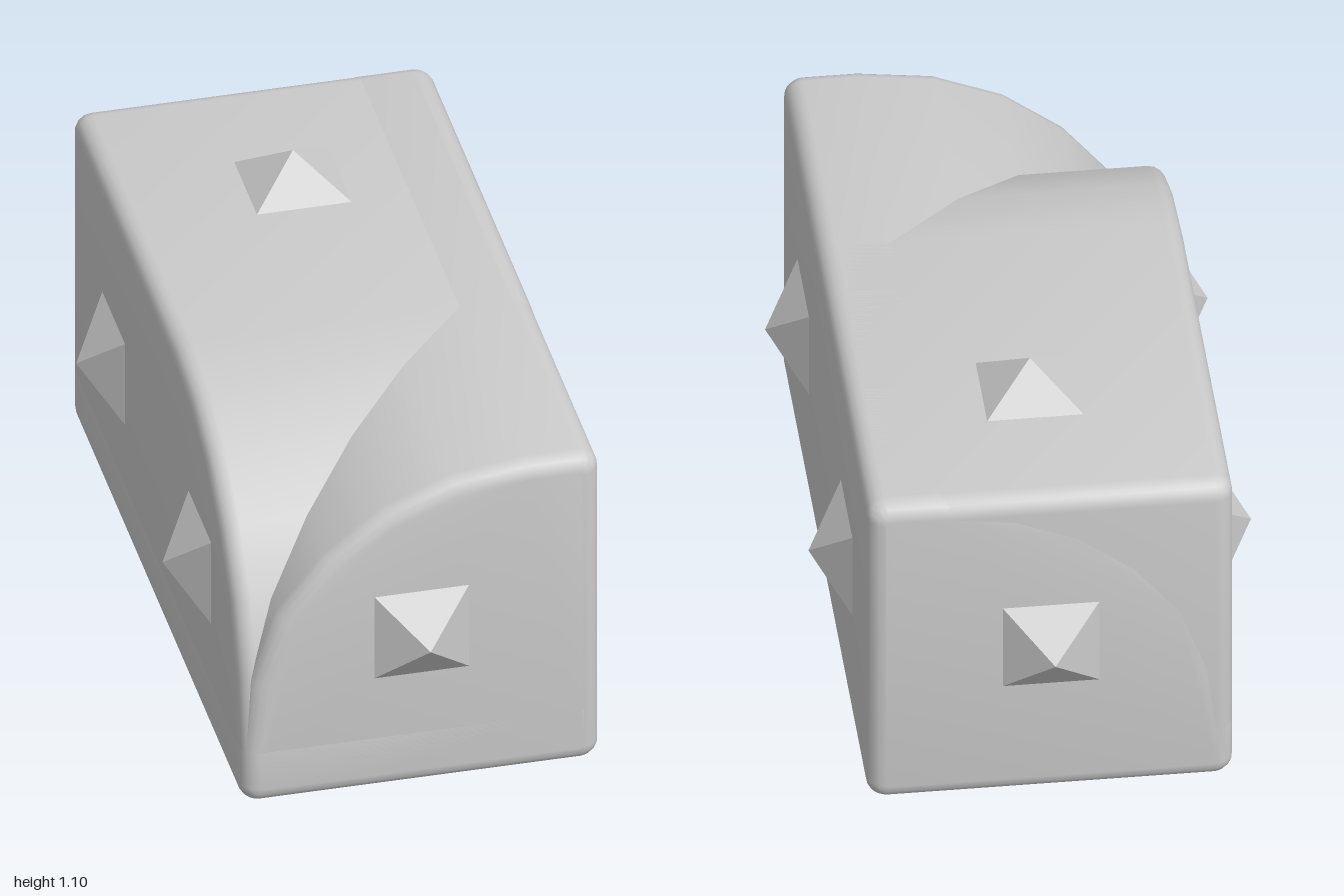
import * as THREE from 'three';
import { toCreasedNormals } from 'three/addons/utils/BufferGeometryUtils.js';

const BOTTOM = 0.095, TOP = 1, HALF_W = 0.455, HALF_L = 0.905;
const CORNER = 0.05, BEVEL = 0.045;

// Quarter-round cut: distance in from the edge, and height
const ARC = [[0, 0.25], [0.025, 0.45], [0.095, 0.64], [0.215, 0.79], [0.365, 0.905], [0.535, 0.975], [0.725, TOP]];

// Rounded rectangle outline whose upper left corner follows the quarter round
function roundedProfile(half) {
  const s = new THREE.Shape();
  const c = CORNER, e = half - c;
  s.moveTo(-e, BOTTOM);
  s.absarc(e, BOTTOM + c, c, -Math.PI / 2, 0, false);
  s.absarc(e, TOP - c, c, 0, Math.PI / 2, false);
  for (const [d, y] of [...ARC].reverse()) s.lineTo(-half + d, y);
  s.absarc(-e, BOTTOM + c, c, Math.PI, Math.PI * 1.5, false);
  return s;
}

// Extrusion with softened ends, centred on its axis
function softExtrude(half, length) {
  const depth = length - 2 * BEVEL;
  const g = new THREE.ExtrudeGeometry(roundedProfile(half), {
    depth, steps: 1, curveSegments: 4,
    bevelEnabled: true, bevelThickness: BEVEL, bevelSize: BEVEL, bevelOffset: -BEVEL, bevelSegments: 4,
  });
  g.translate(0, 0, -depth / 2);
  return toCreasedNormals(g, 0.7);
}

export function createModel() {
  const group = new THREE.Group();
  const smooth = new THREE.MeshStandardMaterial({ color: 0xcccccc });
  const flat = new THREE.MeshStandardMaterial({ color: 0xcccccc, flatShading: true });

  // Body: two crossing extrusions, which meet in a diagonal valley at the cut corner
  const body = new THREE.Group();
  body.name = 'body';
  const lengthwise = new THREE.Mesh(softExtrude(HALF_W, 2 * HALF_L), smooth);
  lengthwise.name = 'bodyLengthwise';
  const crosswise = new THREE.Mesh(softExtrude(HALF_L, 2 * HALF_W), smooth);
  crosswise.name = 'bodyCrosswise';
  crosswise.rotation.y = Math.PI / 2;
  body.add(lengthwise, crosswise);
  group.add(body);

  // Square pyramid studs, base on the face and tip outward
  const height = 0.095;
  const studGeometry = new THREE.ConeGeometry(0.12 * Math.SQRT2, height, 4, 1);
  studGeometry.rotateY(Math.PI / 4);
  studGeometry.translate(0, height / 2, 0);
  const up = new THREE.Vector3(0, 1, 0);
  const addStud = (name, position, normal) => {
    const stud = new THREE.Mesh(studGeometry, flat);
    stud.name = name;
    stud.position.set(...position);
    stud.quaternion.setFromUnitVectors(up, new THREE.Vector3(...normal));
    group.add(stud);
  };
  const midY = 0.548;
  for (const z of [-0.455, 0.455]) {
    const end = z > 0 ? 'Front' : 'Back';
    addStud('leftStud' + end, [HALF_W, midY, z], [1, 0, 0]);
    addStud('rightStud' + end, [-HALF_W, midY, z], [-1, 0, 0]);
    addStud('bottomStud' + end, [0, BOTTOM, z], [0, -1, 0]);
  }
  addStud('frontStud', [0, midY, HALF_L], [0, 0, 1]);
  addStud('backStud', [0, midY, -HALF_L], [0, 0, -1]);
  addStud('topStud', [0, TOP, -0.455], [0, 1, 0]);

  return group;
}
